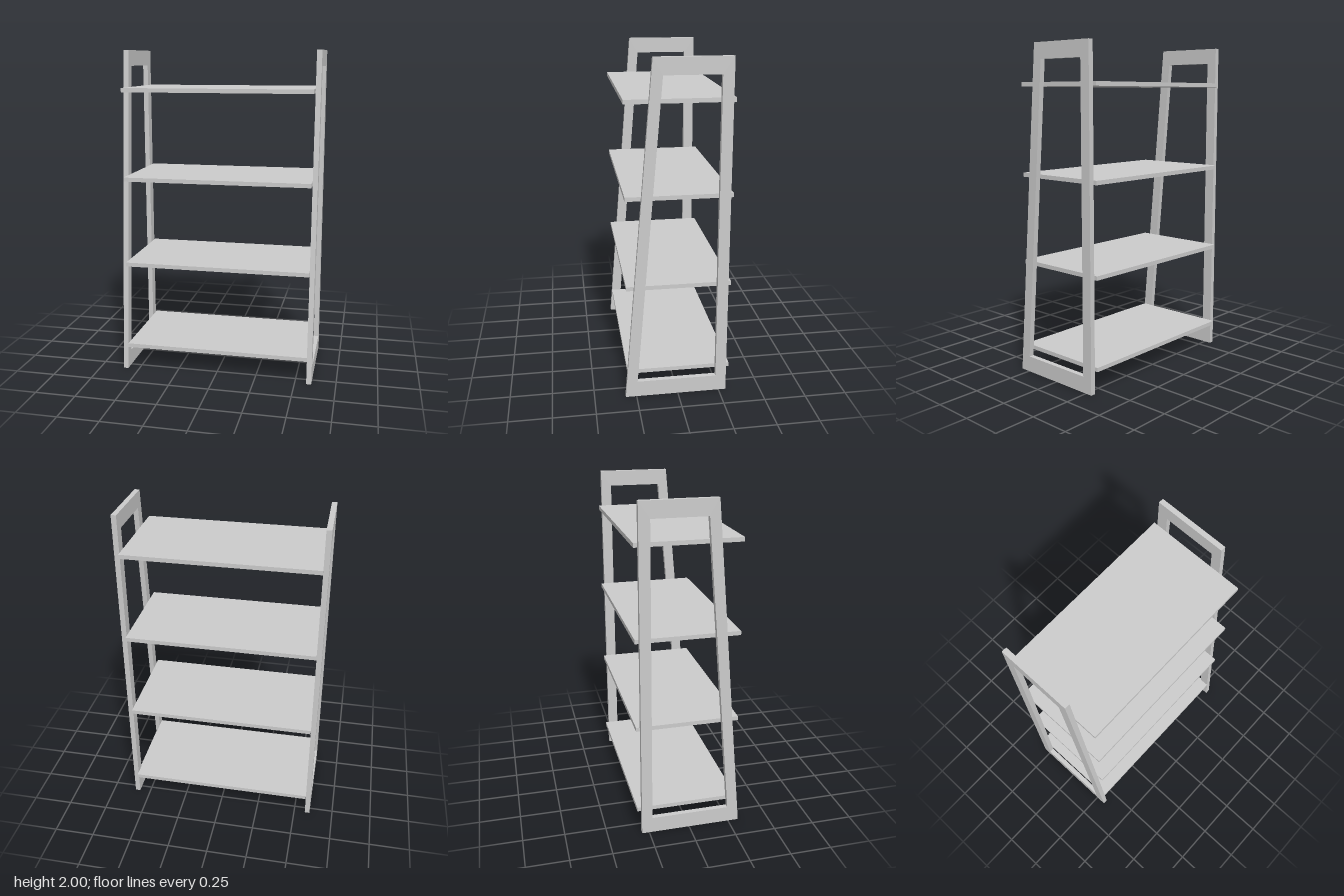
import * as THREE from 'three';

export function createModel() {
  const group = new THREE.Group();
  const material = new THREE.MeshStandardMaterial({ color: 0xcccccc, flatShading: true });
  const innerX = 0.571, thickness = 0.031;

  // Side frame: tapered outline with a tapered opening, drawn as (z, y)
  const points = (list) => list.map(([z, y]) => new THREE.Vector2(z, y));
  const outline = new THREE.Shape(points([[-0.294, 0], [0.315, 0], [0.144, 2], [-0.294, 2]]));
  outline.holes.push(new THREE.Path(points([[-0.23, 0.098], [-0.23, 1.905], [0.09, 1.905], [0.243, 0.098]])));
  const frameGeometry = new THREE.ExtrudeGeometry(outline, { depth: thickness, bevelEnabled: false });
  frameGeometry.translate(0, 0, -thickness / 2).rotateY(-Math.PI / 2);

  for (const side of [1, -1]) {
    const frame = new THREE.Mesh(frameGeometry, material);
    frame.name = side > 0 ? 'leftFrame' : 'rightFrame';
    frame.position.x = side * (innerX + thickness / 2);
    group.add(frame);
  }

  // Four evenly spaced shelves between the frames
  const shelfBack = -0.316, shelfFront = 0.3;
  const shelfGeometry = new THREE.BoxGeometry(innerX * 2, 0.025, shelfFront - shelfBack);
  for (let i = 0; i < 4; i++) {
    const shelf = new THREE.Mesh(shelfGeometry, material);
    shelf.name = `shelf${i + 1}`;
    shelf.position.set(0, 0.151 + i * 0.538, (shelfFront + shelfBack) / 2);
    group.add(shelf);
  }
  return group;
}
